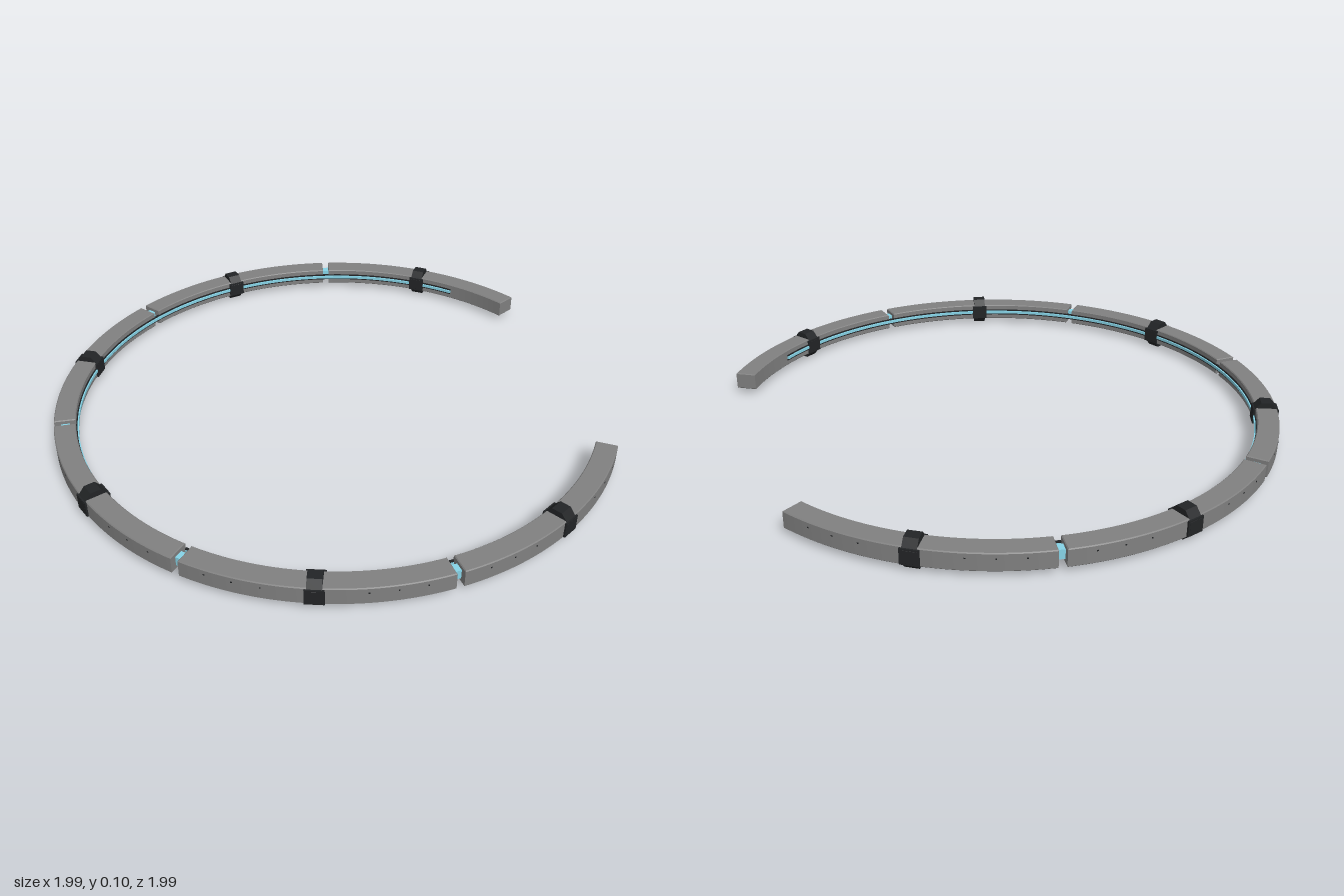
import * as THREE from 'three';
import { toCreasedNormals } from 'three/addons/utils/BufferGeometryUtils.js';

const DEG = Math.PI / 180;
const MID_Y = 0.053;
const MID_R = 0.957;
const PITCH = 49.5; // degrees per segment
const COUNT = 6;
const GAP = 1.8;

// Curved bar: annular sector of given radii and height, centred on MID_Y
function arcBar(rIn, rOut, height, from, to, bevel, steps) {
  const s = new THREE.Shape();
  s.absarc(0, 0, rOut - bevel, from * DEG, to * DEG, false);
  s.absarc(0, 0, rIn + bevel, to * DEG, from * DEG, true);
  s.closePath();
  const geo = new THREE.ExtrudeGeometry(s, {
    depth: height - 2 * bevel, curveSegments: steps,
    bevelEnabled: bevel > 0, bevelThickness: bevel, bevelSize: bevel, bevelSegments: 1,
  });
  geo.translate(0, 0, -height / 2 + bevel);
  geo.rotateX(-Math.PI / 2);
  geo.translate(0, MID_Y, 0);
  return toCreasedNormals(geo, 20 * DEG);
}

export function createModel() {
  const model = new THREE.Group();
  const grey = new THREE.MeshStandardMaterial({ color: 0x808080 });
  const black = new THREE.MeshStandardMaterial({ color: 0x222426 });
  const cyan = new THREE.MeshStandardMaterial({ color: 0x86d3e6 });

  const add = (parent, name, geo, mat) => {
    const mesh = new THREE.Mesh(geo, mat);
    mesh.name = name;
    parent.add(mesh);
    return mesh;
  };

  // Group whose local x points outward and local z runs along the ring
  const station = (name, angle) => {
    const g = new THREE.Group();
    g.name = name;
    g.position.set(MID_R * Math.cos(angle * DEG), MID_Y, -MID_R * Math.sin(angle * DEG));
    g.rotation.y = angle * DEG;
    model.add(g);
    return g;
  };

  // Clamp: octagonal sleeve with slightly longer side pads
  const sleeve = new THREE.CylinderGeometry(0.0495, 0.0495, 0.046, 8, 1);
  sleeve.rotateY(Math.PI / 8);
  sleeve.rotateX(Math.PI / 2);
  sleeve.scale(0.96, 1.1, 1);
  const pad = new THREE.BoxGeometry(0.087, 0.054, 0.06);
  sleeve.translate(-0.001, 0, 0);
  pad.translate(-0.001, 0, 0);
  const clampMat = black.clone();
  clampMat.flatShading = true;

  const stud = new THREE.BoxGeometry(0.003, 0.004, 0.005);

  for (let i = 0; i < COUNT; i++) {
    const from = i * PITCH + (i > 0 ? GAP / 2 : 0);
    const to = (i + 1) * PITCH - (i < COUNT - 1 ? GAP / 2 : 0);
    add(model, 'segment', arcBar(0.92, 0.994, 0.061, from, to, 0.003, 28), grey);

    const middle = (i + 0.5) * PITCH;
    const clamp = station('clamp', middle);
    add(clamp, 'clampSleeve', sleeve, clampMat);
    add(clamp, 'clampPads', pad, clampMat);

    // Small fasteners on the outer face
    for (const offset of [-19, -14, -9, 9, 14, 19]) {
      const g = station('fastener', middle + offset);
      add(g, 'fastenerHead', stud, black).position.set(0.0365, 0.012, 0);
    }
  }

  // Core that shows in the gaps and at both ends
  add(model, 'core', arcBar(0.942, 0.972, 0.032, -0.05, COUNT * PITCH + 0.05, 0, 160), cyan);

  // Light strip with dark rails along the inner face
  add(model, 'lightStrip', arcBar(0.913, 0.924, 0.01, 15, 282, 0, 140), cyan);
  for (const side of [-1, 1]) {
    const rail = add(model, 'stripRail', arcBar(0.917, 0.924, 0.005, 15, 282, 0, 140), black);
    rail.position.y = side * 0.0085;
  }

  return model;
}
